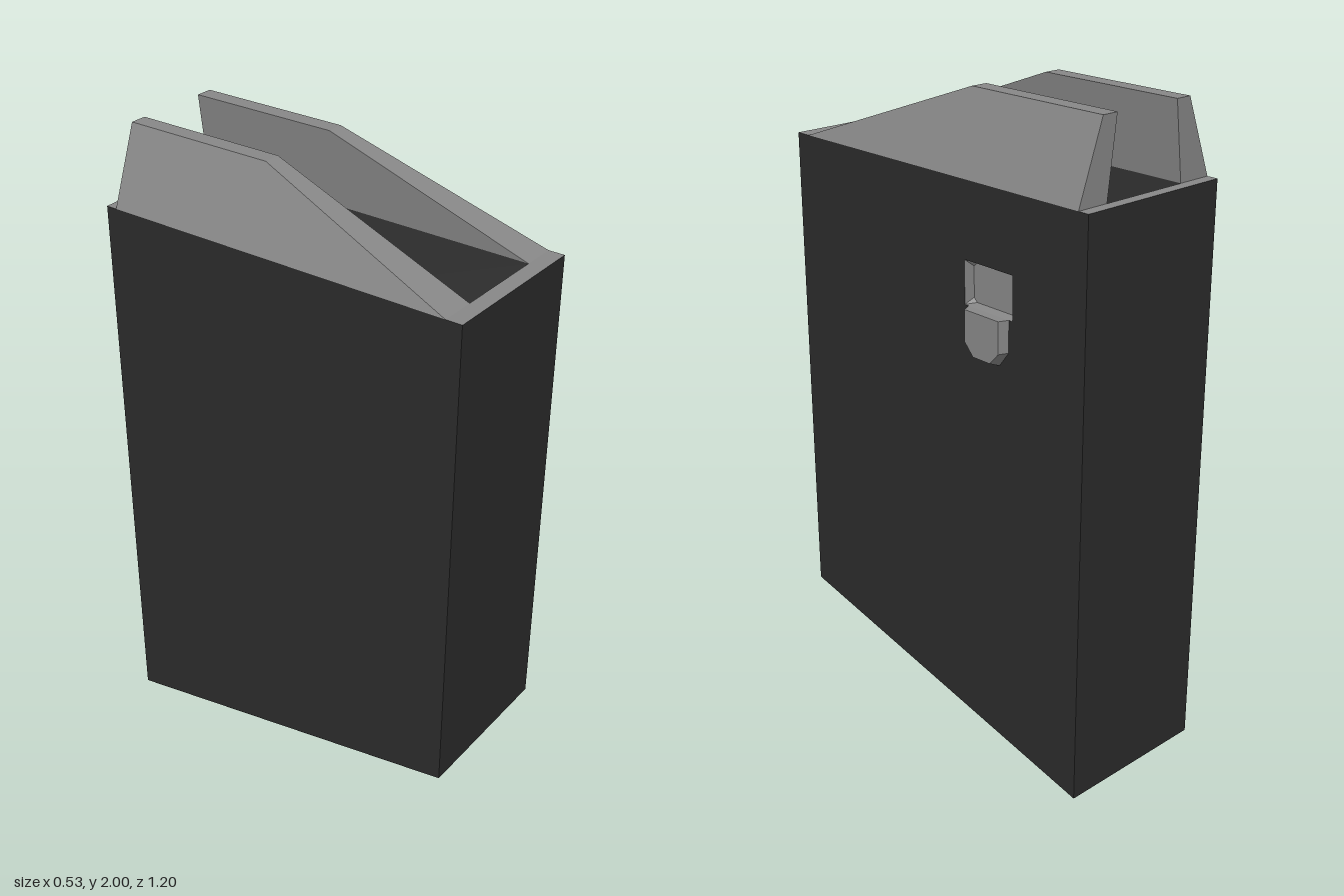
import * as THREE from 'three';

const blackMetal = new THREE.MeshStandardMaterial({ color: 0x2b2b2b });
blackMetal.name = 'black metal';
const greyMetal = new THREE.MeshStandardMaterial({ color: 0x888888 });
greyMetal.name = 'grey metal';

// Flat-shaded mesh from convex polygons, corners anticlockwise from outside
function faces(name, material, polygons, flip = false) {
  const pos = [];
  for (const p of polygons) {
    for (let i = 1; i < p.length - 1; i++) {
      const tri = flip ? [p[0], p[i + 1], p[i]] : [p[0], p[i], p[i + 1]];
      tri.forEach((v) => pos.push(...v));
    }
  }
  const g = new THREE.BufferGeometry();
  g.setAttribute('position', new THREE.Float32BufferAttribute(pos, 3));
  g.computeVertexNormals();
  const mesh = new THREE.Mesh(g, material);
  mesh.name = name;
  return mesh;
}

// Quads joining two rings of equal length
const bridge = (a, b) => a.map((p, i) => {
  const j = (i + 1) % a.length;
  return [p, a[j], b[j], b[i]];
});

// Ring of (z, y) points placed at a given x
const ringAt = (x, pts) => pts.map(([z, y]) => [x, y, z]);

const L = 0.235, R = -0.265, F = 0.6, B = -0.6;   // body sides, front, back
const RIM = 1.77, FRONT_LOW = 0.245, TOP = 2;
const MOUTH_F = 0.55, MOUTH_B = -0.565;

// Tapered feed lip; x positions of its foot and crest
function lip(name, footOut, footIn, topOut, topIn) {
  const bend = -0.085;
  const a = [footOut, RIM, MOUTH_F], b = [footIn, RIM, MOUTH_F];
  const c = [footIn, RIM, MOUTH_B], d = [footOut, RIM, MOUTH_B];
  const e = [topOut, TOP, bend], f = [topIn, TOP, bend];
  const g = [topIn, TOP, MOUTH_B], h = [topOut, TOP, MOUTH_B];
  return faces(name, greyMetal, [
    [a, e, h, d],   // outer
    [b, c, g, f],   // inner
    [a, b, f, e],   // front ramp
    [e, f, g, h],   // crest
    [d, h, g, c],   // back end
  ], footOut > footIn);
}

export function createModel() {
  const model = new THREE.Group();

  // Body shell with slanted underside
  model.add(faces('body', blackMetal, [
    [[R, FRONT_LOW, F], [L, FRONT_LOW, F], [L, RIM, F], [R, RIM, F]],
    [[L, 0, B], [R, 0, B], [R, RIM, B], [L, RIM, B]],
    [[R, 0, B], [R, FRONT_LOW, F], [R, RIM, F], [R, RIM, B]],
    [[R, 0, B], [L, 0, B], [L, FRONT_LOW, F], [R, FRONT_LOW, F]],
  ]));

  // Left side panel, pierced for the catch recess
  const v = (z, y) => new THREE.Vector2(-z, y);
  const side = new THREE.Shape([v(F, FRONT_LOW), v(B, 0), v(B, RIM), v(F, RIM)]);
  side.holes.push(new THREE.Path([v(-0.14, 1.415), v(-0.14, 1.545), v(-0.33, 1.545), v(-0.33, 1.415)]));
  const panel = new THREE.Mesh(new THREE.ShapeGeometry(side).rotateY(Math.PI / 2), blackMetal);
  panel.position.x = L;
  panel.name = 'leftSidePanel';
  model.add(panel);

  // Flat rim at the front and back of the mouth
  const strip = (z0, z1) => [[R, RIM, z1], [L, RIM, z1], [L, RIM, z0], [R, RIM, z0]];
  model.add(faces('rim', greyMetal, [strip(MOUTH_F, F), strip(B, MOUTH_B)]));

  // Feed lips
  model.add(lip('rightLip', R, -0.155, -0.176, -0.125));
  model.add(lip('leftLip', L, 0.131, 0.154, 0.102));

  // Cavity narrowing down to a central valley
  const deep = RIM - 0.36;
  const p = [-0.155, RIM, MOUTH_F], q = [0.131, RIM, MOUTH_F];
  const r = [0.131, RIM, MOUTH_B], s = [-0.155, RIM, MOUTH_B];
  const vf = [-0.011, deep, 0.44], vb = [-0.011, deep, -0.46];
  model.add(faces('cavity', blackMetal, [
    [p, vf, vb, s], [q, r, vb, vf], [p, q, vf], [r, s, vb],
  ]));

  // Catch recess: sloping walls and a floor with clipped corners
  const recess = (z0, z1, y0, y1, c) => [
    [z0, y0 + c], [z0 - c, y0], [z1 + c, y0], [z1, y0 + c],
    [z1, y1 - c], [z1 + c, y1], [z0 - c, y1], [z0, y1 - c],
  ];
  const mouth = ringAt(L, recess(-0.14, -0.33, 1.415, 1.545, 0));
  const floor = ringAt(L - 0.03, recess(-0.146, -0.322, 1.418, 1.533, 0.012));
  model.add(faces('catchRecess', greyMetal, [floor, ...bridge(mouth, floor)]));

  // Raised catch below the recess, tapered outward
  const outline = (z0, z1, yTop, yBottom, cut) => [
    [z0, yTop], [z0, 1.32], [z0 - cut, yBottom],
    [z1 + cut, yBottom], [z1, 1.32], [z1, yTop],
  ];
  const base = ringAt(L, outline(-0.156, -0.316, 1.415, 1.273, 0.036));
  const cap = ringAt(0.264, outline(-0.17, -0.305, 1.415, 1.284, 0.034));
  model.add(faces('catch', greyMetal, [cap, ...bridge(base, cap)]));

  return model;
}
